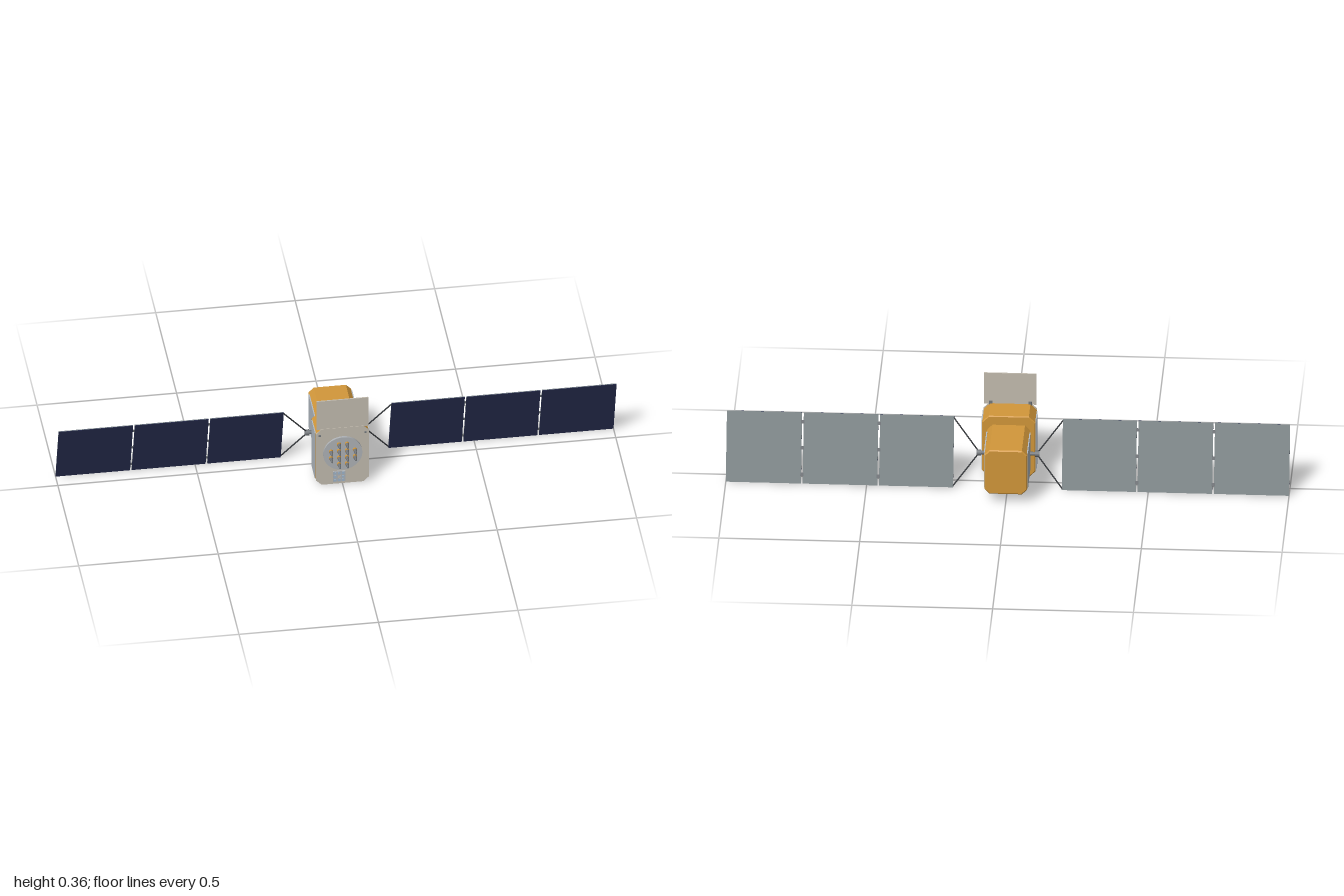
import * as THREE from 'three';

const mat = (name, color) => {
  const m = new THREE.MeshStandardMaterial({ color });
  m.name = name;
  return m;
};

export function createModel() {
  const gold = mat('gold foil', 0xd2973a);
  const silver = mat('radiator silver', 0xb4bcc4);
  const navy = mat('solar cell navy', 0x262c50);
  const grey = mat('panel back grey', 0x818a8d);
  const beige = mat('beige plate', 0xc4bdb0);
  const disc = mat('antenna disc grey', 0xb0b4b8);
  const metal = mat('metal grey', 0x74787c);
  const dark = mat('dark strut', 0x35383c);
  const blue = mat('patch blue', 0x9fb6cc);

  const root = new THREE.Group();
  root.name = 'satellite';

  const add = (parent, name, geo, material, x = 0, y = 0, z = 0) => {
    const m = new THREE.Mesh(geo, material);
    m.name = name;
    m.position.set(x, y, z);
    parent.add(m);
    return m;
  };
  const box = (parent, name, w, h, d, material, x, y, z) =>
    add(parent, name, new THREE.BoxGeometry(w, h, d), material, x, y, z);

  // Rectangle with cut corners, extruded from z0 to z1
  const cutBlock = (name, hw, y0, y1, c, z0, z1, bevel, material) => {
    const b = bevel, w = hw - b, lo = y0 + b, hi = y1 - b;
    const pts = [[w - c, lo], [w, lo + c], [w, hi - c], [w - c, hi],
      [c - w, hi], [-w, hi - c], [-w, lo + c], [c - w, lo]];
    const shape = new THREE.Shape(pts.map(p => new THREE.Vector2(...p)));
    const geo = new THREE.ExtrudeGeometry(shape, {
      depth: z1 - z0 - 2 * b, bevelEnabled: b > 0, bevelSize: b, bevelThickness: b, bevelSegments: 1
    });
    add(root, name, geo, material, 0, 0, z0 + b);
  };

  // Straight round strut between two points
  const strut = (parent, name, a, b, r, material) => {
    const d = b.clone().sub(a);
    const m = add(parent, name, new THREE.CylinderGeometry(r, r, d.length(), 8), material);
    m.position.copy(a).addScaledVector(d, 0.5);
    m.quaternion.setFromUnitVectors(new THREE.Vector3(0, 1, 0), d.normalize());
  };

  // Foil covered bodies
  cutBlock('rearBody', 0.076, 0.04, 0.213, 0.016, -0.173, 0.034, 0.004, gold);
  cutBlock('frontBody', 0.095, 0.007, 0.247, 0.022, 0.03, 0.135, 0.003, gold);
  cutBlock('frontPlate', 0.095, 0.007, 0.247, 0.02, 0.134, 0.1375, 0, beige);

  // Raised flap above the front plate and its hinges
  box(root, 'upperFlap', 0.186, 0.122, 0.005, beige, 0, 0.306, 0.1335);
  for (const s of [-1, 1]) {
    box(root, 'flapHinge', 0.012, 0.014, 0.005, metal, s * 0.07, 0.25, 0.1295);
    box(root, 'plateClip', 0.008, 0.006, 0.004, metal, s * 0.082, 0.22, 0.139);
  }

  // Side radiators
  for (const s of [-1, 1]) {
    box(root, 'frontRadiator', 0.004, 0.197, 0.082, silver, s * 0.0955, 0.126, 0.083);
    box(root, 'rearRadiator', 0.004, 0.142, 0.161, silver, s * 0.0765, 0.126, -0.0725);
  }

  // Antenna disc carrying twelve stepped spikes
  const discMesh = add(root, 'antennaDisc', new THREE.CylinderGeometry(0.07, 0.07, 0.008, 40), disc, 0, 0.14, 0.141);
  discMesh.rotation.x = Math.PI / 2;
  const segments = [
    ['spikeBase', 0.0075, 0.0075, 0.145, 0.152, gold],
    ['spikeMiddle', 0.0055, 0.0065, 0.152, 0.163, metal],
    ['spikeTip', 0.003, 0.0045, 0.163, 0.175, metal]
  ];
  for (let i = 0; i < 4; i++) {
    for (let j = 0; j < 4; j++) {
      if ((i === 0 || i === 3) && (j === 0 || j === 3)) continue;
      const spike = new THREE.Group();
      spike.name = 'antennaSpike';
      spike.position.set((i - 1.5) * 0.0285, 0.14 + (j - 1.5) * 0.0285, 0);
      root.add(spike);
      for (const [name, rt, rb, z0, z1, m] of segments) {
        add(spike, name, new THREE.CylinderGeometry(rt, rb, z1 - z0, 12), m, 0, 0, (z0 + z1) / 2)
          .rotation.x = Math.PI / 2;
      }
    }
  }

  // Small patch array below the disc
  box(root, 'patchBase', 0.044, 0.044, 0.005, disc, -0.013, 0.04, 0.1395);
  for (let i = -1; i <= 1; i++) {
    for (let j = -1; j <= 1; j++) {
      const centre = !i && !j;
      box(root, 'patch', 0.009, 0.009, 0.002, centre ? beige : blue, -0.013 + i * 0.015, 0.04 + j * 0.015, 0.143);
    }
  }

  // Solar wings, tilted about the x axis
  const H = 0.256;
  const spans = [[0.193, 0.456], [0.462, 0.727], [0.733, 1.0]];
  for (const s of [-1, 1]) {
    const wing = new THREE.Group();
    wing.name = s > 0 ? 'leftWing' : 'rightWing';
    wing.position.set(0, 0.127, -0.02);
    wing.rotation.x = 0.297;
    root.add(wing);
    for (const [a, b] of spans) {
      const x = s * (a + b) / 2;
      box(wing, 'panelBack', b - a, H, 0.003, grey, x, 0, -0.0008);
      box(wing, 'solarCells', b - a, H, 0.0015, navy, x, 0, 0.0014);
    }
    // Hinges joining neighbouring panels
    for (const x of [0.459, 0.73]) {
      for (const y of [-0.095, 0, 0.095]) {
        box(wing, 'panelHinge', 0.012, 0.012, 0.003, metal, s * x, y, -0.001);
      }
    }
    // Drive shaft and V-shaped yoke
    const shaft = add(wing, 'driveShaft', new THREE.CylinderGeometry(0.007, 0.007, 0.04, 16), metal, s * 0.092, 0, 0);
    shaft.rotation.z = Math.PI / 2;
    const hub = add(wing, 'driveHub', new THREE.CylinderGeometry(0.011, 0.011, 0.016, 20), metal, s * 0.104, 0, 0);
    hub.rotation.z = Math.PI / 2;
    for (const t of [-1, 1]) {
      strut(wing, 'yokeStrut', new THREE.Vector3(s * 0.106, t * 0.006, 0),
        new THREE.Vector3(s * 0.195, t * 0.124, 0), 0.0025, dark);
    }
  }
  return root;
}
